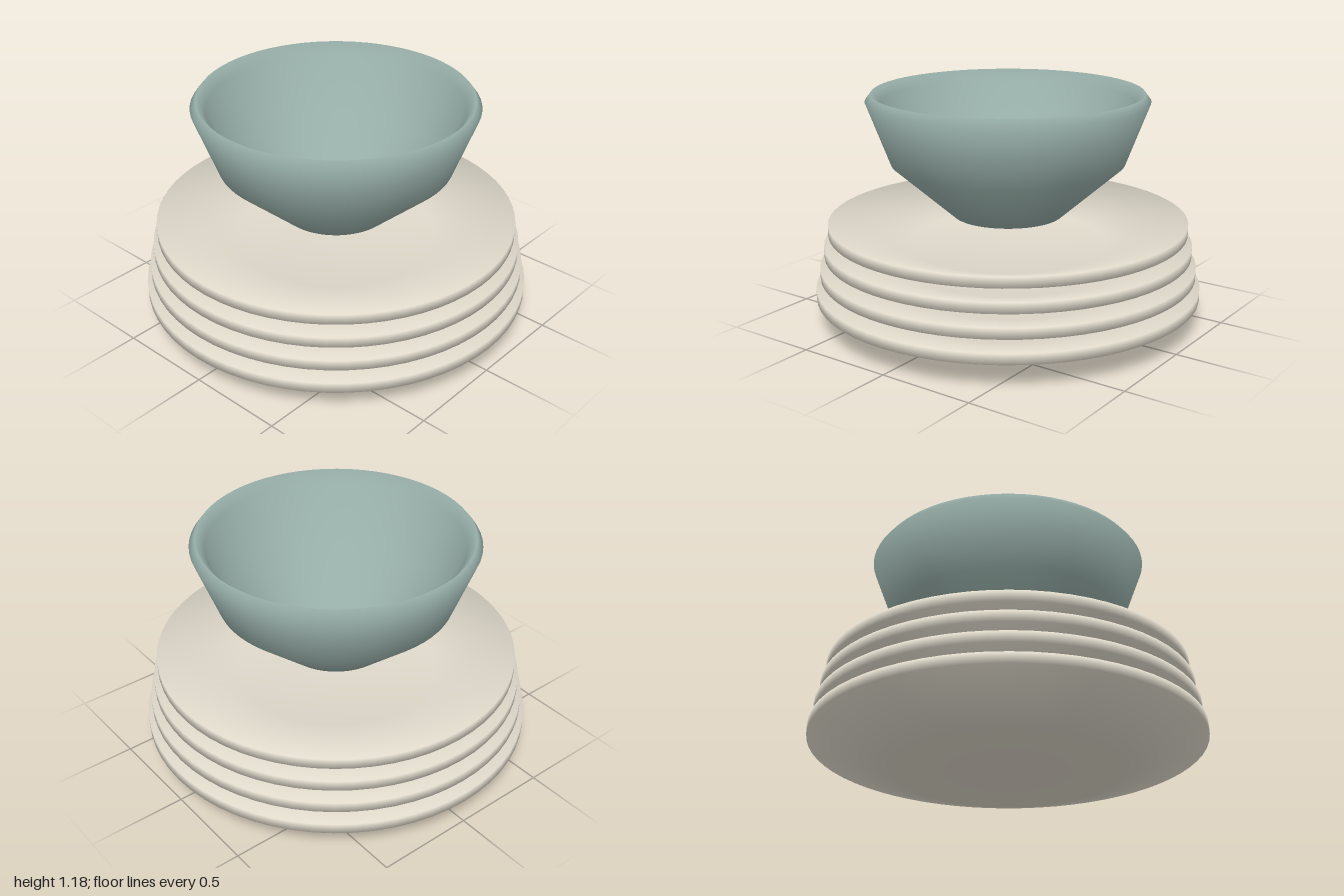
import * as THREE from 'three';

const SEGMENTS = 64;

// Smooth surface of revolution from [radius, height] pairs, base centre to inner centre.
// Each ring's normal is the even average of its two neighbouring faces, for soft edges.
function turned(name, profile, material) {
  const points = profile.map(([r, y]) => new THREE.Vector2(r, y));
  const geometry = new THREE.LatheGeometry(points, SEGMENTS);

  const faces = points.slice(1).map((p, i) => {
    const d = p.clone().sub(points[i]).normalize();
    return new THREE.Vector2(d.y, -d.x);
  });
  const rings = points.map((p, i) => {
    const before = faces[Math.max(i - 1, 0)];
    const after = faces[Math.min(i, faces.length - 1)];
    return before.clone().add(after).normalize();
  });
  const normal = geometry.attributes.normal;
  for (let i = 0; i < normal.count; i++) {
    const n = rings[i % points.length];
    const angle = Math.floor(i / points.length) / SEGMENTS * Math.PI * 2;
    normal.setXYZ(i, n.x * Math.sin(angle), n.y, n.x * Math.cos(angle));
  }

  const mesh = new THREE.Mesh(geometry, material);
  mesh.name = name;
  return mesh;
}

export function createModel() {
  const group = new THREE.Group();
  group.name = 'stackedDishes';

  const cream = new THREE.MeshStandardMaterial({ color: 0xdfd9cb });
  cream.name = 'cream glaze';
  const sage = new THREE.MeshStandardMaterial({ color: 0x97aea8 });
  sage.name = 'sage glaze';

  // Four nested plates, each slightly narrower than the one below
  const plateProfile = [
    [0, 0], [0.565, 0], [1, 0.132], [1, 0.187], [0.56, 0.055], [0, 0.055],
  ];
  for (let i = 0; i < 4; i++) {
    const s = 1 - i * 0.024;
    const profile = plateProfile.map(([r, y]) => [r * s, y]);
    const plate = turned(`plate${i + 1}`, profile, cream);
    plate.position.y = i * 0.112;
    group.add(plate);
  }

  // Bowl with a rounded lip and an even-walled hollow
  const bowl = turned('bowl', [
    [0, 0], [0.285, 0], [0.6, 0.28], [0.72, 0.6], [0.69, 0.64],
    [0.645, 0.585], [0.525, 0.29], [0.23, 0.065], [0, 0.065],
  ], sage);
  bowl.position.y = 0.545;
  group.add(bowl);

  return group;
}
